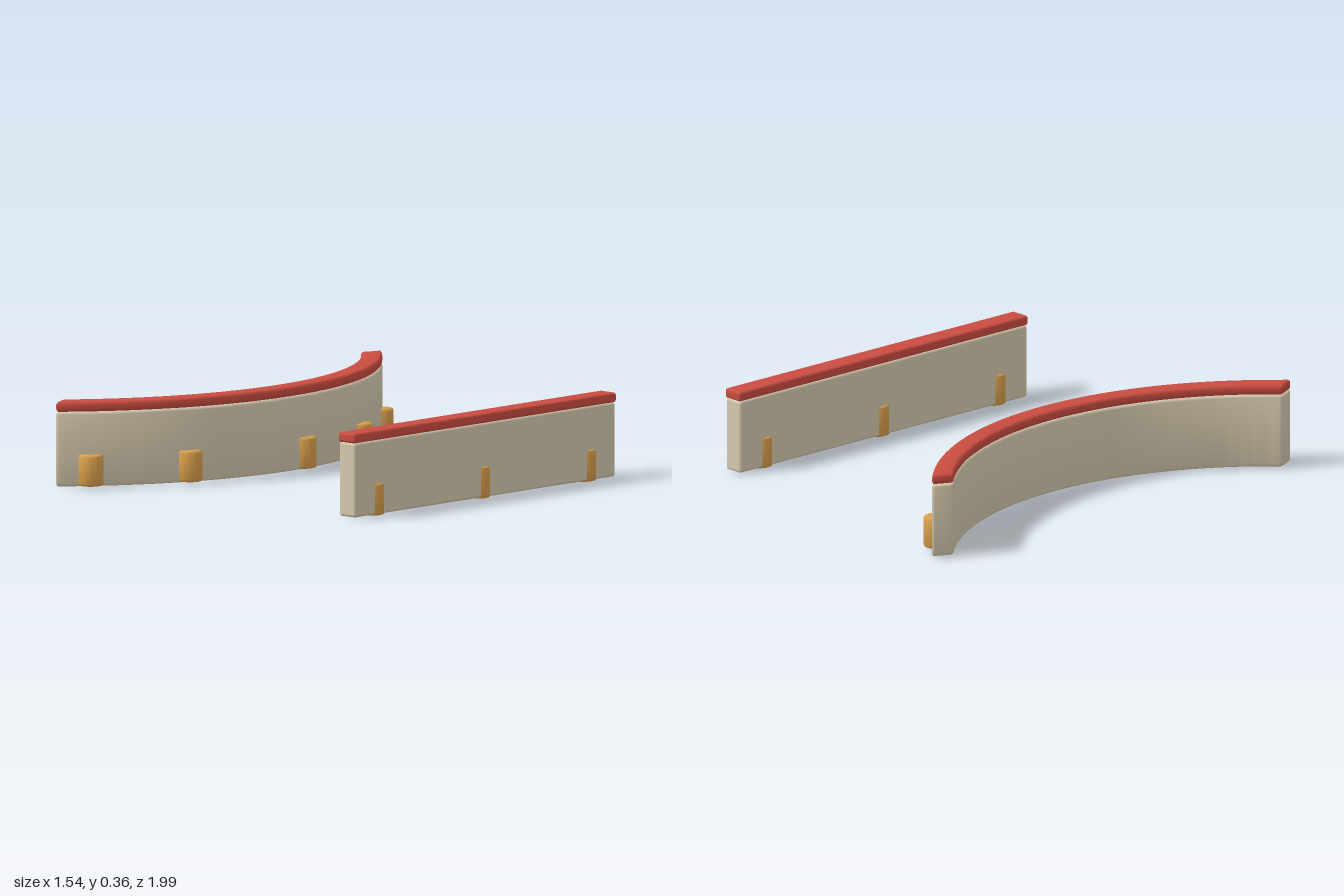
import * as THREE from 'three';
import { toCreasedNormals } from 'three/addons/utils/BufferGeometryUtils.js';
import { RoundedBoxGeometry } from 'three/addons/geometries/RoundedBoxGeometry.js';

const ARC_X = -1.715, OUTER = 1.4, INNER = 1.312;
const OUTER_END = THREE.MathUtils.degToRad(45.6), INNER_END = THREE.MathUtils.degToRad(44.3);

// Plan outline of the curved wall, with slightly softened end corners
function arcOutline(soft = 0.012) {
  const at = (r, a) => [ARC_X + r * Math.cos(a), r * Math.sin(a)];
  const a = OUTER_END - soft / OUTER, b = INNER_END - soft / INNER;
  const mix = (p, q, t) => [p[0] + (q[0] - p[0]) * t, p[1] + (q[1] - p[1]) * t];
  const t = soft / (OUTER - INNER);
  const outline = new THREE.Shape();
  outline.moveTo(...at(OUTER, -a));
  outline.absarc(ARC_X, 0, OUTER, -a, a, false);
  const o1 = at(OUTER, OUTER_END), i1 = at(INNER, INNER_END);
  outline.quadraticCurveTo(...o1, ...mix(o1, i1, t));
  outline.lineTo(...mix(i1, o1, t));
  outline.quadraticCurveTo(...i1, ...at(INNER, b));
  outline.absarc(ARC_X, 0, INNER, b, -b, true);
  const o0 = at(OUTER, -OUTER_END), i0 = at(INNER, -INNER_END);
  outline.quadraticCurveTo(...i0, ...mix(i0, o0, t));
  outline.lineTo(...mix(o0, i0, t));
  outline.quadraticCurveTo(...o0, ...at(OUTER, -a));
  return outline;
}

// Curved slab between two heights with rounded rims
function arcSlab(y0, y1, bevel) {
  const geometry = new THREE.ExtrudeGeometry(arcOutline(), {
    depth: y1 - y0 - 2 * bevel, curveSegments: 40, bevelEnabled: true,
    bevelThickness: bevel, bevelSize: bevel, bevelOffset: -bevel, bevelSegments: 3,
  });
  geometry.rotateX(-Math.PI / 2).translate(0, y0 + bevel, 0);
  return toCreasedNormals(geometry, 0.7);
}

// Round peg with a softened rim at both ends
function pegGeometry(height, r = 0.053, b = 0.008) {
  const profile = [
    [0, 0], [r - b, 0], [r - b * 0.3, b * 0.3], [r, b],
    [r, height - b], [r - b * 0.3, height - b * 0.3], [r - b, height], [0, height],
  ].map(([x, y]) => new THREE.Vector2(x, y));
  return toCreasedNormals(new THREE.LatheGeometry(profile, 28), 0.8);
}

export function createModel() {
  const model = new THREE.Group();
  model.name = 'barrierSet';
  const material = (name, color) => {
    const m = new THREE.MeshStandardMaterial({ color });
    m.name = name;
    return m;
  };
  const stone = material('paleStone', 0xd6c9ae);
  const red = material('redCap', 0xc94c40);
  const gold = material('goldPeg', 0xd89e4c);

  const add = (parent, name, geometry, mat, x = 0, y = 0, z = 0) => {
    const mesh = new THREE.Mesh(geometry, mat);
    mesh.name = name;
    mesh.position.set(x, y, z);
    parent.add(mesh);
  };

  // Curved barrier
  const curved = new THREE.Group();
  curved.name = 'curvedBarrier';
  add(curved, 'curvedWall', arcSlab(0.008, 0.32, 0.012), stone);
  add(curved, 'curvedCap', arcSlab(0.319, 0.362, 0.014), red);
  const curvedPeg = pegGeometry(0.13);
  [[-0.641, -0.89], [-0.425, -0.525], [-0.335, -0.083], [-0.425, 0.518], [-0.641, 0.888]]
    .forEach(([x, z]) => add(curved, 'curvedWallPeg', curvedPeg, gold, x, 0.012, z));

  // Straight barrier
  const straight = new THREE.Group();
  straight.name = 'straightBarrier';
  const X = 0.7125;
  add(straight, 'straightWall', new RoundedBoxGeometry(0.09, 0.311, 1.6, 3, 0.012), stone, X, 0.1595);
  add(straight, 'straightCap', new RoundedBoxGeometry(0.092, 0.041, 1.61, 3, 0.011), red, X, 0.3345);
  const straightPeg = pegGeometry(0.133);
  [-0.65, 0, 0.65].forEach((z) => add(straight, 'straightWallPeg', straightPeg, gold, X, 0, z));

  model.add(curved, straight);
  return model;
}
